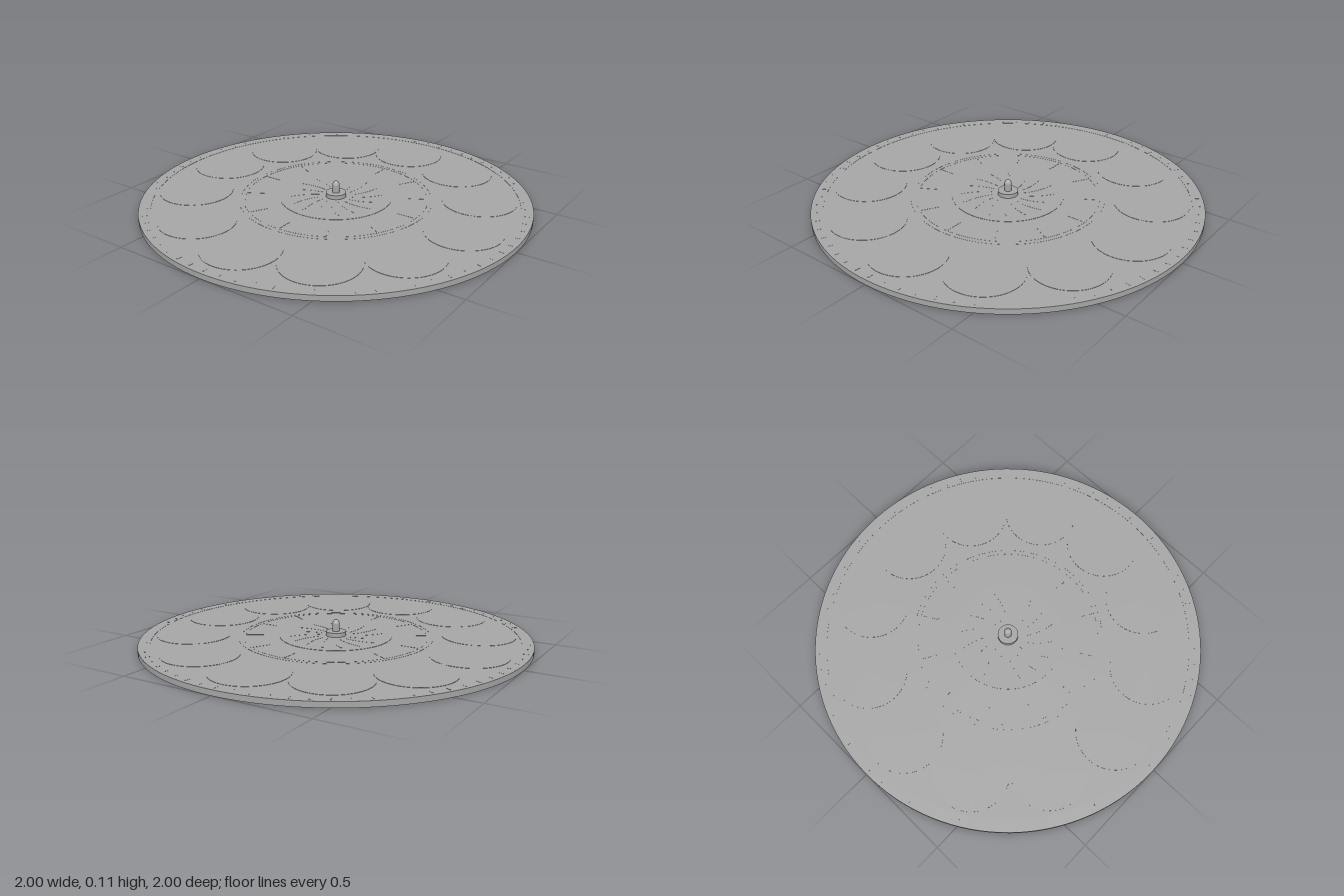
import * as THREE from 'three';

const TOP = 0.0265; // upper face of the base disc

export function createModel() {
  const model = new THREE.Group();
  model.name = 'roundPlate';
  const grey = new THREE.MeshStandardMaterial({ color: 0xa6a6a6 });
  grey.name = 'grey';

  const add = (parent, name, geometry) => {
    const mesh = new THREE.Mesh(geometry, grey);
    mesh.name = name;
    parent.add(mesh);
    return mesh;
  };
  const group = (name) => {
    const g = new THREE.Group();
    g.name = name;
    model.add(g);
    return g;
  };
  const disc = (radius, height, y, sides = 64) =>
    new THREE.CylinderGeometry(radius, radius, height, sides).translate(0, y + height / 2, 0);
  // Thin flat plate cut from a shape, lying on the disc
  const plate = (shape, height) =>
    new THREE.ExtrudeGeometry(shape, { depth: height, bevelEnabled: false, curveSegments: 64 })
      .rotateX(-Math.PI / 2).translate(0, TOP, 0);
  const ring = (outer, inner, height) => {
    const shape = new THREE.Shape().absarc(0, 0, outer, 0, Math.PI * 2);
    shape.holes.push(new THREE.Path().absarc(0, 0, inner, 0, Math.PI * 2, true));
    return plate(shape, height);
  };

  // Base disc and its concentric trim
  add(model, 'baseDisc', disc(1, TOP, 0, 128));
  add(model, 'outerRim', ring(1, 0.94, 0.001));
  add(model, 'middleRingOuter', ring(0.5, 0.49, 0.0006));
  add(model, 'middleRingInner', ring(0.475, 0.468, 0.0006));
  add(model, 'centreDisc', disc(0.29, 0.0015, TOP, 96));

  // Twelve round pads around the outside
  const pads = group('pads');
  for (let i = 0; i < 12; i++) {
    const a = (i * Math.PI) / 6;
    add(pads, 'pad', disc(0.19, 0.0015, TOP))
      .position.set(0.735 * Math.cos(a), 0, 0.735 * Math.sin(a));
  }

  // Radial bars between the centre disc and the middle ring
  const bars = group('radialBars');
  for (let i = 0; i < 12; i++) {
    const bar = add(bars, 'radialBar',
      new THREE.BoxGeometry(0.09, 0.001, 0.006).translate(0.42, TOP + 0.0005, 0));
    bar.rotation.y = (i * Math.PI) / 6;
  }

  // Small ticks on the rim
  const ticks = group('rimTicks');
  for (let i = 0; i < 72; i++) {
    const tick = add(ticks, 'rimTick',
      new THREE.BoxGeometry(0.025, 0.0016, 0.006).translate(0.968, TOP + 0.0008, 0));
    tick.rotation.y = (i * Math.PI) / 36;
  }

  // Curved blades swirling out from the hub
  const blade = new THREE.Shape();
  blade.moveTo(0.085, -0.003);
  blade.quadraticCurveTo(0.16, 0.005, 0.235, 0.06);
  blade.lineTo(0.231, 0.067);
  blade.quadraticCurveTo(0.16, 0.013, 0.085, 0.003);
  const bladeGeometry = plate(blade, 0.0022);
  const blades = group('swirlBlades');
  for (let i = 0; i < 16; i++) {
    add(blades, 'swirlBlade', bladeGeometry).rotation.y = (i * Math.PI) / 8;
  }

  // Hub and centre pin
  add(model, 'hub', disc(0.053, 0.05 - TOP, TOP, 48));
  const pinProfile = [
    [0.019, 0.049], [0.019, 0.09], [0.019, 0.09], [0.0165, 0.1], [0.012, 0.107], [0.006, 0.11], [0, 0.1105],
  ].map(([x, y]) => new THREE.Vector2(x, y));
  add(model, 'centrePin', new THREE.LatheGeometry(pinProfile, 32));

  return model;
}
